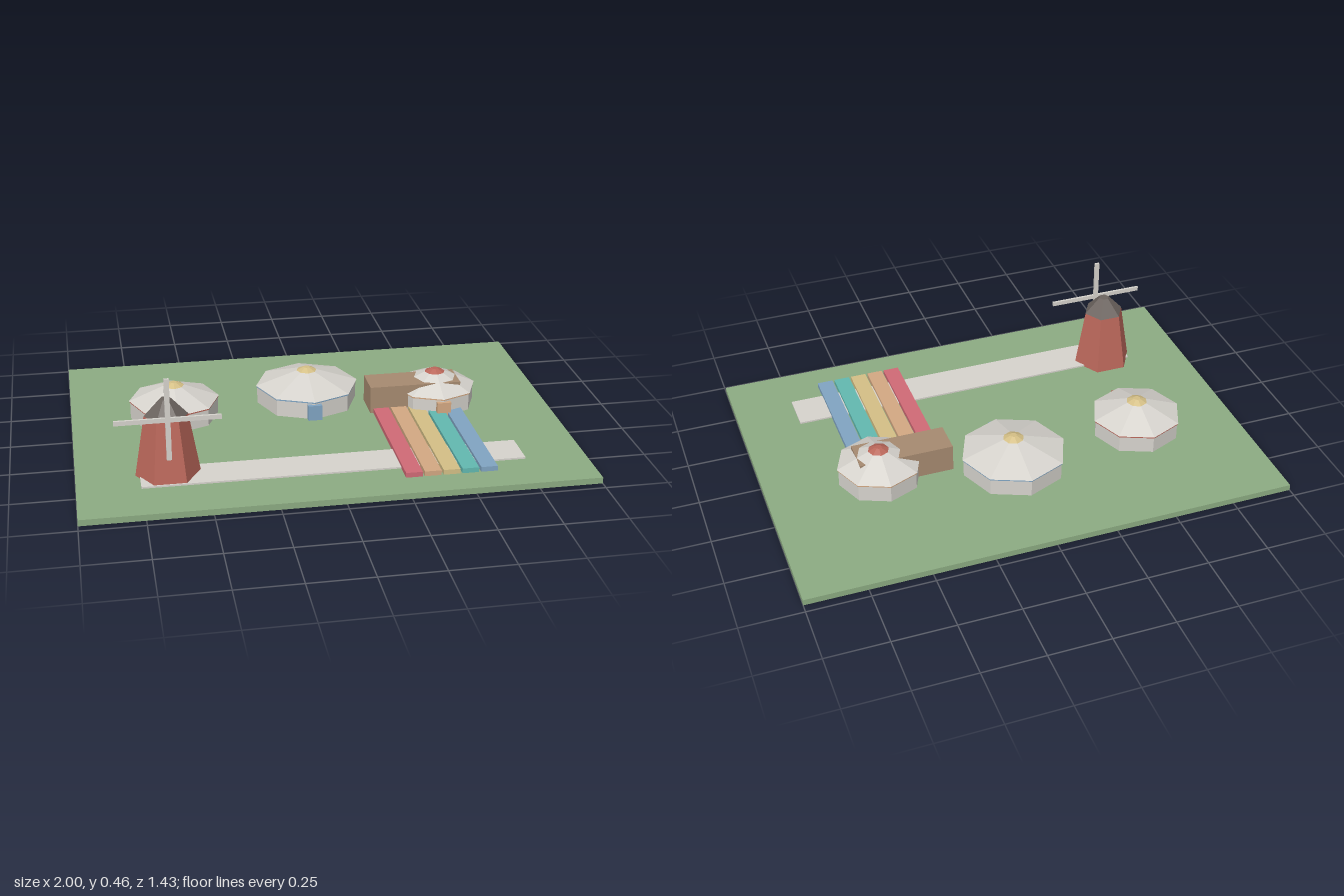
import * as THREE from 'three';

const mat = (name, color) => {
  const m = new THREE.MeshStandardMaterial({ color, flatShading: true });
  m.name = name;
  return m;
};

export function createModel() {
  const M = {
    grass: mat('grass green', 0x8cab82),
    canvas: mat('off white', 0xd6d3cd),
    brick: mat('brick red', 0xba675a),
    cap: mat('dark grey brown', 0x6c645f),
    gold: mat('gold', 0xd4bf86),
    wood: mat('wood brown', 0xa68a70),
    rose: mat('rose', 0xd06a76),
    orange: mat('orange tan', 0xd3a882),
    teal: mat('teal', 0x62b8b0),
    blue: mat('blue', 0x80a4c2),
  };
  const root = new THREE.Group();
  root.name = 'village';
  const GROUND = 0.025;

  const add = (parent, name, geo, material, x, y, z) => {
    const mesh = new THREE.Mesh(geo, material);
    mesh.name = name;
    mesh.position.set(x, y, z);
    parent.add(mesh);
    return mesh;
  };
  // box given by its limits on each axis
  const box = (parent, name, material, x0, x1, y0, y1, z0, z1) =>
    add(parent, name, new THREE.BoxGeometry(x1 - x0, y1 - y0, z1 - z0), material,
      (x0 + x1) / 2, (y0 + y1) / 2, (z0 + z1) / 2);
  // upright tapered prism from y0 to y1
  const prism = (parent, name, material, rBottom, rTop, y0, y1, sides, turn = 0) =>
    add(parent, name, new THREE.CylinderGeometry(rTop, rBottom, y1 - y0, sides, 1, false, turn),
      material, 0, (y0 + y1) / 2, 0);

  // ground and path
  box(root, 'ground', M.grass, -1, 1, 0, GROUND, -0.714, 0.714);
  box(root, 'path', M.canvas, -0.754, 0.754, GROUND, 0.032, 0.345, 0.505);

  // round tents
  const tent = (name, x, z, r, trim, crown) => {
    const g = new THREE.Group();
    g.name = name;
    g.position.set(x, 0, z);
    root.add(g);
    prism(g, 'wall', M.canvas, r - 0.005, r - 0.005, GROUND, 0.1, 8);
    prism(g, 'eaveBand', trim, r - 0.002, r - 0.002, 0.096, 0.102, 8);
    prism(g, 'roof', M.canvas, r, 0.043, 0.102, 0.161, 8);
    prism(g, 'crown', crown, 0.043, 0.014, 0.161, 0.175, 8);
    box(g, 'door', trim, -0.029, 0.029, GROUND, 0.09, r - 0.02, r + 0.006);
  };
  tent('leftmostTent', -0.572, -0.147, 0.188, M.brick, M.gold);
  tent('middleTent', 0, -0.215, 0.218, M.blue, M.gold);
  tent('sideTent', 0.535, -0.109, 0.174, M.orange, M.brick);

  // shed joined to the side tent
  box(root, 'shed', M.wood, 0.24, 0.626, GROUND, 0.14, -0.163, -0.024);

  // coloured field strips
  [M.rose, M.orange, M.gold, M.teal, M.blue].forEach((m, i) => {
    const x = 0.286 + i * 0.0746;
    box(root, 'fieldStrip' + (i + 1), m, x - 0.033, x + 0.033, GROUND, 0.045, -0.03, 0.586);
  });

  // windmill
  const mill = new THREE.Group();
  mill.name = 'windmill';
  mill.position.set(-0.643, 0, 0.39);
  root.add(mill);
  prism(mill, 'tower', M.brick, 0.127, 0.085, GROUND, 0.273, 6, Math.PI / 6);
  prism(mill, 'cap', M.cap, 0.085, 0.022, 0.273, 0.341, 6, Math.PI / 6);
  box(mill, 'horizontalSail', M.canvas, -0.203, 0.203, 0.284, 0.302, 0.087, 0.097);
  box(mill, 'verticalSail', M.canvas, -0.01, 0.01, 0.127, 0.46, 0.087, 0.097);

  return root;
}
